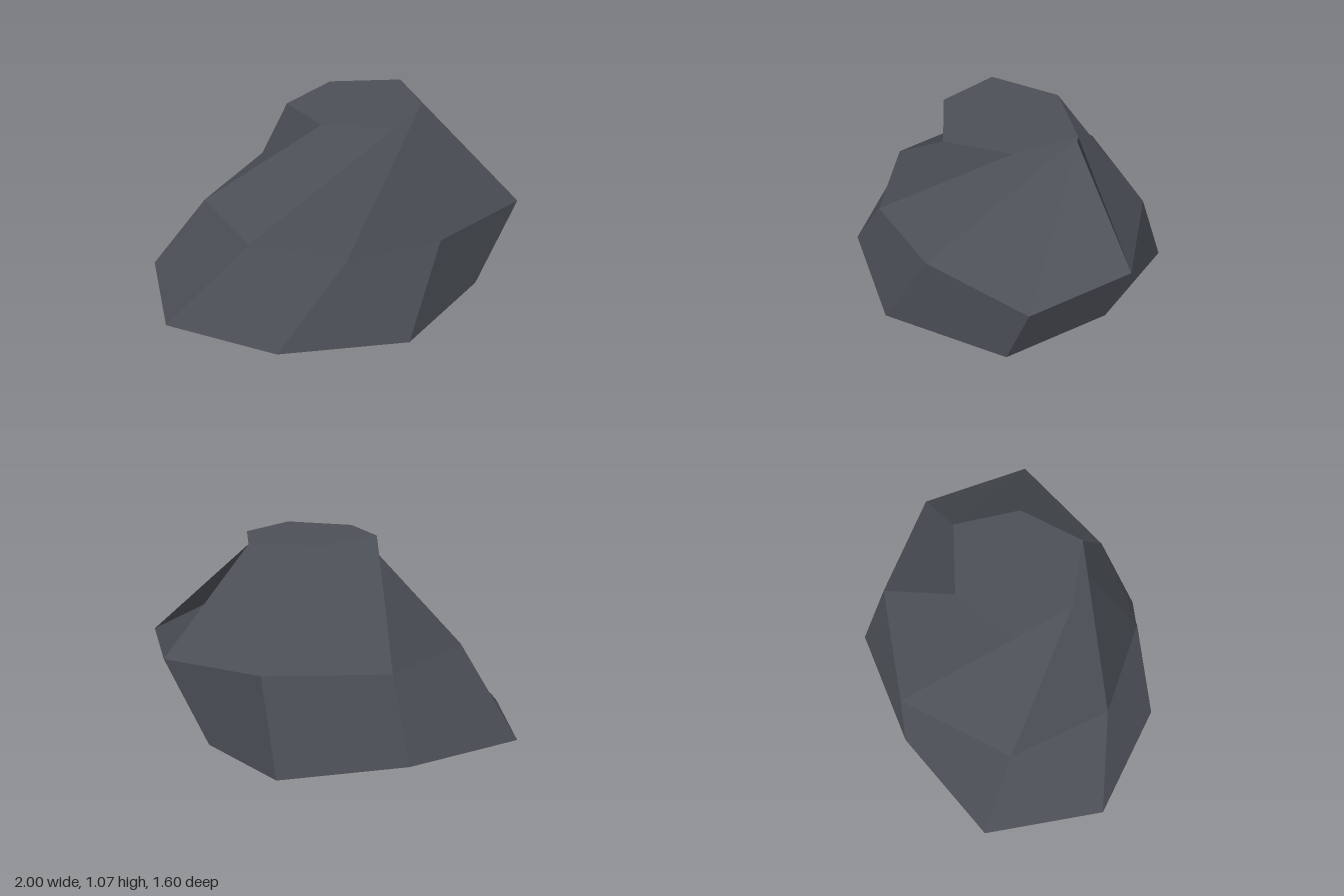
import * as THREE from 'three';

export function createModel() {
  const stone = new THREE.MeshStandardMaterial({ color: 0x4c5057 });
  stone.name = 'slate grey';

  // Three horizontal cross-sections as [x, z], running from the right side past the front
  const ring = (y, points) => points.map(([x, z]) => new THREE.Vector3(x, y, z));
  const base = ring(0, [[-1, -0.07], [-0.66, 0.5], [-0.03, 0.8], [0.65, 0.54],
    [0.79, -0.07], [0.65, -0.68], [-0.03, -0.8], [-0.74, -0.7]]);
  const middle = ring(0.485, [[-0.62, 0.18], [-0.29, 0.6], [0.23, 0.71], [0.87, 0.6],
    [1, 0], [0.65, -0.49], [0.04, -0.74], [-0.55, -0.4]]);
  // The crest folds back on itself at the left, making the notch
  const crest = ring(1.065, [[0.1, 0.46], [0.42, 0.28], [0.54, -0.06], [0.2, -0.26],
    [0.54, -0.06], [0.2, -0.26], [-0.17, -0.13], [-0.18, 0.21]]);

  // Each facet is a list of triangle corners sharing one flat normal
  const facets = (name, list) => {
    const positions = [], normals = [];
    for (const { corners, normal } of list) {
      for (const p of corners) {
        positions.push(...p.toArray());
        normals.push(...normal.toArray());
      }
    }
    const geometry = new THREE.BufferGeometry();
    geometry.setAttribute('position', new THREE.Float32BufferAttribute(positions, 3));
    geometry.setAttribute('normal', new THREE.Float32BufferAttribute(normals, 3));
    const mesh = new THREE.Mesh(geometry, stone);
    mesh.name = name;
    return mesh;
  };

  // Joins two rings with bent quads; those listed as folded crease along the other diagonal
  const band = (low, high, folded = []) => low.map((a, i) => {
    const j = (i + 1) % low.length;
    const b = low[j], c = high[j], d = high[i];
    const normal = c.clone().sub(a).cross(d.clone().sub(b)).normalize();
    const corners = folded.includes(i) ? [a, b, d, b, c, d] : [a, b, c, a, c, d];
    return { corners, normal };
  });

  // Closes a level outline
  const cap = (loop, up) => [{
    corners: loop.slice(2).flatMap((p, i) => [loop[0], loop[i + 1], p]),
    normal: new THREE.Vector3(0, up, 0),
  }];

  const rock = new THREE.Group();
  rock.name = 'rock';
  rock.add(
    facets('lowerSides', band(base, middle)),
    facets('upperSides', band(middle, crest, [2, 3])),
    facets('flatTop', cap([0, 1, 2, 5, 6, 7].map((i) => crest[i]), 1)),
    facets('underside', cap([...base].reverse(), -1)),
  );
  return rock;
}
